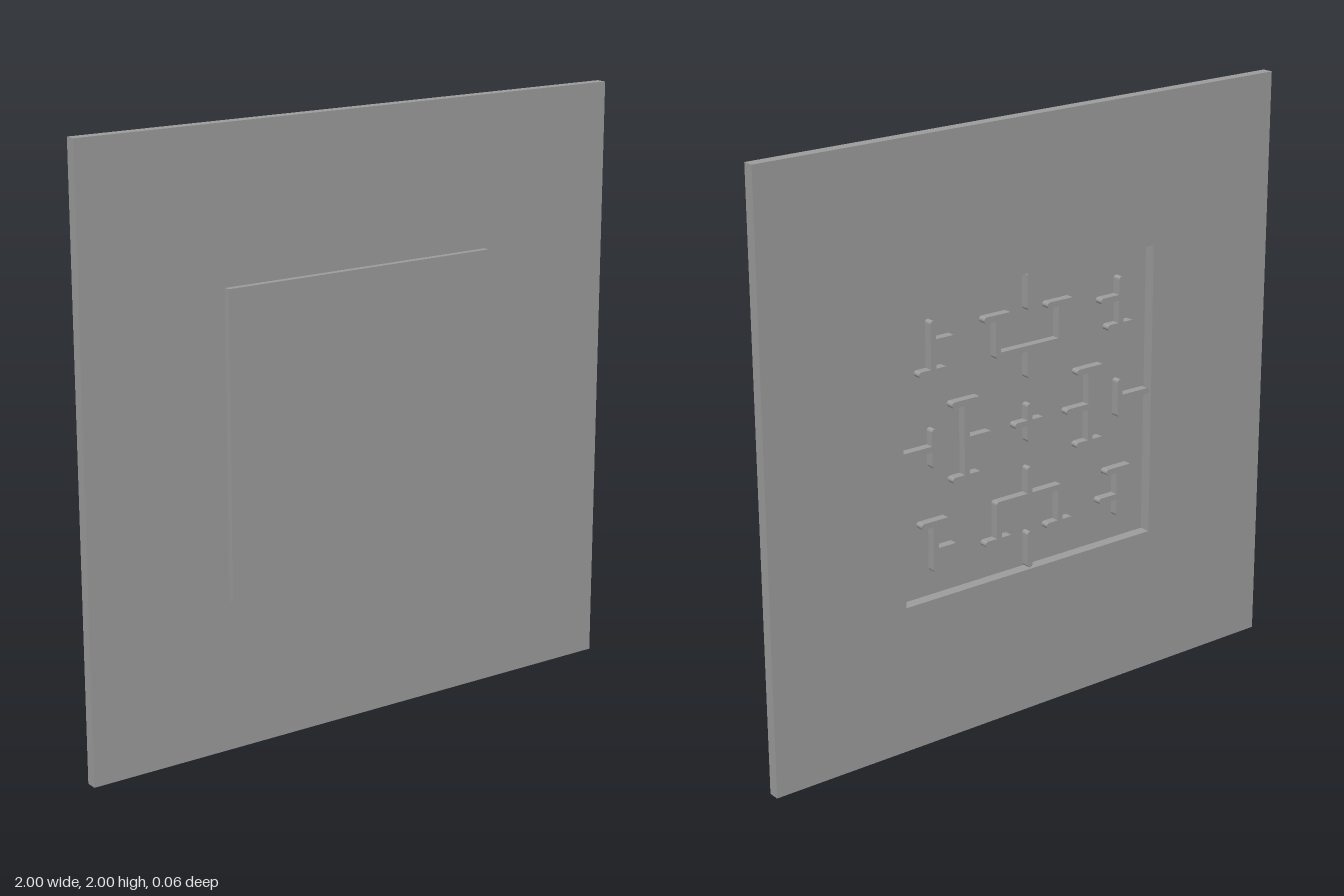
import * as THREE from 'three';

const BACK = -0.03, MID = 0.008, FRONT = 0.03; // depth layers
const R = 0.01, HEIGHT = 0.028; // half width and height of a maze wall

export function createModel() {
  const model = new THREE.Group();
  const material = new THREE.MeshStandardMaterial({ color: 0x9d9d9d, flatShading: true });
  const add = (geometry, name, parent = model) => {
    const mesh = new THREE.Mesh(geometry, material);
    mesh.name = name;
    parent.add(mesh);
    return mesh;
  };
  const rect = (Type, h) => new Type([[-h, -h], [h, -h], [h, h], [-h, h]].map(p => new THREE.Vector2(...p)));

  // Square frame with a central opening
  const frame = rect(THREE.Shape, 1);
  frame.holes.push(rect(THREE.Path, 0.5));
  add(new THREE.ExtrudeGeometry(frame, { depth: MID - BACK, bevelEnabled: false }), 'frame').position.set(0, 1, BACK);

  // Panel closing the opening from the front
  add(new THREE.BoxGeometry(1, 1, FRONT - MID), 'panel').position.set(0, 1, (MID + FRONT) / 2);

  // Maze walls standing on the back of the panel, just below the frame's surface
  const maze = new THREE.Group();
  maze.name = 'maze';
  maze.position.set(0, 1, MID - HEIGHT);
  model.add(maze);

  // A straight wall with rounded ends
  const wall = (name, x1, y1, x2, y2) => {
    const half = Math.hypot(x2 - x1, y2 - y1) / 2;
    const shape = new THREE.Shape();
    shape.absarc(half, 0, R, -Math.PI / 2, Math.PI / 2, false);
    shape.absarc(-half, 0, R, Math.PI / 2, Math.PI * 1.5, false);
    const geometry = new THREE.ExtrudeGeometry(shape, { depth: HEIGHT, bevelEnabled: false, curveSegments: 6 });
    const mesh = add(geometry, name, maze);
    mesh.position.set((x1 + x2) / 2, (y1 + y2) / 2, 0);
    mesh.rotation.z = Math.atan2(y2 - y1, x2 - x1);
  };

  // Central cross
  wall('crossBar', -0.05, 0, 0.05, 0);
  wall('crossPost', 0, -0.055, 0, 0.055);

  for (const s of [-1, 1]) {
    // Upper and lower stubs and brackets
    wall('edgeStub', 0, s * 0.49, 0, s * 0.385);
    wall('bracketBase', -0.125, s * 0.25, 0.125, s * 0.25);
    wall('bracketStem', 0, s * 0.25, 0, s * 0.16);

    // Side tees and branched posts
    wall('teeStem', s * 0.49, 0, s * 0.375, 0);
    wall('teeBar', s * 0.375, -0.055, s * 0.375, 0.055);
    wall('sidePost', s * 0.25, -0.125, s * 0.25, 0.125);
    wall('sideBranch', s * 0.25, 0, s * 0.16, 0);

    for (const t of [-1, 1]) {
      wall('sidePostCap', s * 0.203, t * 0.125, s * 0.297, t * 0.125);
      wall('bracketArm', s * 0.125, t * 0.25, s * 0.125, t * 0.375);
      wall('bracketCap', s * 0.08, t * 0.375, s * 0.17, t * 0.375);
      // Corner pieces
      wall('cornerPost', s * 0.375, t * 0.25, s * 0.375, t * 0.405);
      wall('cornerFoot', s * 0.33, t * 0.25, s * 0.42, t * 0.25);
      wall('cornerBranch', s * 0.375, t * 0.345, s * 0.3, t * 0.345);
    }
  }
  return model;
}
